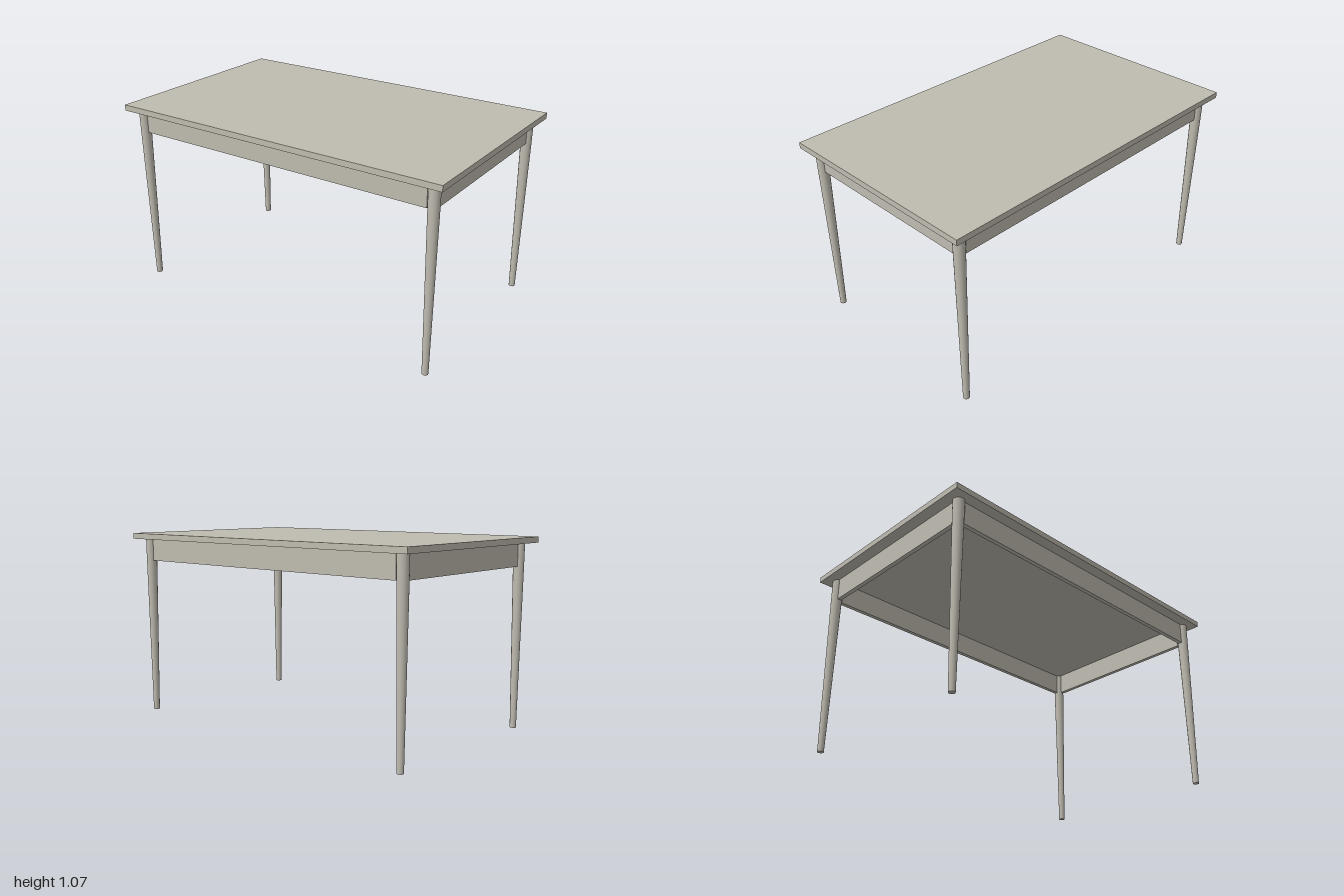
import * as THREE from 'three';

export function createModel() {
  const table = new THREE.Group();
  table.name = 'table';
  const paint = new THREE.MeshStandardMaterial({ color: 0xbfbbb0 });
  paint.name = 'warm grey';

  const TOP = 1.07, UNDER = 1.037, APRON_BOTTOM = 0.909;
  const LEG_X = 0.925, LEG_Z = 0.532;

  function add(name, geometry, x, y, z) {
    const mesh = new THREE.Mesh(geometry, paint);
    mesh.name = name;
    mesh.position.set(x, y, z);
    table.add(mesh);
  }

  // Tabletop slab
  add('tabletop', new THREE.BoxGeometry(2, TOP - UNDER, 1.21), 0, (TOP + UNDER) / 2, 0);

  // Apron boards, centred on the legs and running between them
  const apronH = UNDER - APRON_BOTTOM, apronY = (UNDER + APRON_BOTTOM) / 2, thick = 0.024;
  for (const s of [1, -1]) {
    add(s > 0 ? 'frontApron' : 'backApron',
      new THREE.BoxGeometry(1.788, apronH, thick), 0, apronY, s * LEG_Z);
    add(s > 0 ? 'leftApron' : 'rightApron',
      new THREE.BoxGeometry(thick, apronH, 0.998), s * LEG_X, apronY, 0);
  }

  // Round legs: straight beside the apron, tapering to a slim foot
  const taper = new THREE.CylinderGeometry(0.030, 0.0175, APRON_BOTTOM, 20);
  const head = new THREE.CylinderGeometry(0.031, 0.030, apronH, 20);
  for (const sx of [1, -1]) {
    for (const sz of [1, -1]) {
      const name = (sz > 0 ? 'front' : 'back') + (sx > 0 ? 'Left' : 'Right') + 'Leg';
      add(name, taper, sx * LEG_X, APRON_BOTTOM / 2, sz * LEG_Z);
      add(name + 'Head', head, sx * LEG_X, apronY, sz * LEG_Z);
    }
  }
  return table;
}
